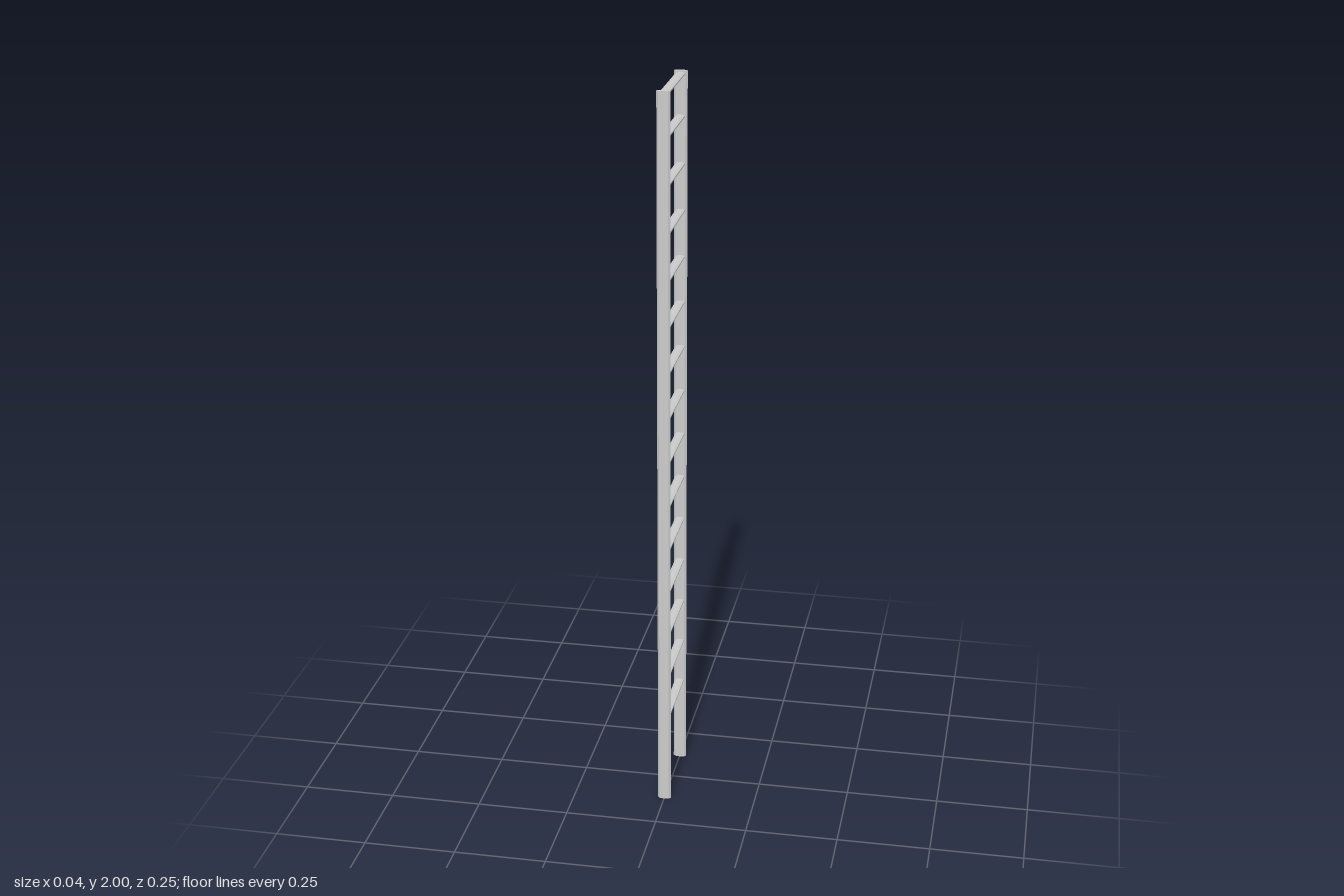
import * as THREE from 'three';

const RAIL_Z = 0.119;
const FIRST_RUNG = 0.249;
const RUNG_STEP = 0.1256;

export function createModel() {
  const ladder = new THREE.Group();
  ladder.name = 'ladder';
  const material = new THREE.MeshStandardMaterial({ color: 0xcccccc, flatShading: true });

  // Side rails: tall eight-sided bars with a flattened oval section
  const railGeometry = new THREE.CylinderGeometry(1, 1, 2, 8).scale(0.018, 1, 0.0075);
  for (const side of [1, -1]) {
    const rail = new THREE.Mesh(railGeometry, material);
    rail.name = side > 0 ? 'frontRail' : 'backRail';
    rail.position.set(0, 1, side * RAIL_Z);
    ladder.add(rail);
  }

  // Rungs: flattened eight-sided bars lying along z between the rails
  const rungGeometry = new THREE.CylinderGeometry(1, 1, RAIL_Z * 2, 8)
    .rotateY(Math.PI / 8)
    .rotateX(Math.PI / 2)
    .scale(0.013, 0.0055, 1);
  for (let i = 0; i < 15; i++) {
    const rung = new THREE.Mesh(rungGeometry, material);
    rung.name = `rung${i + 1}`;
    // The last rung sits just under the rail tops
    rung.position.y = Math.min(FIRST_RUNG + i * RUNG_STEP, 1.992);
    ladder.add(rung);
  }

  return ladder;
}
